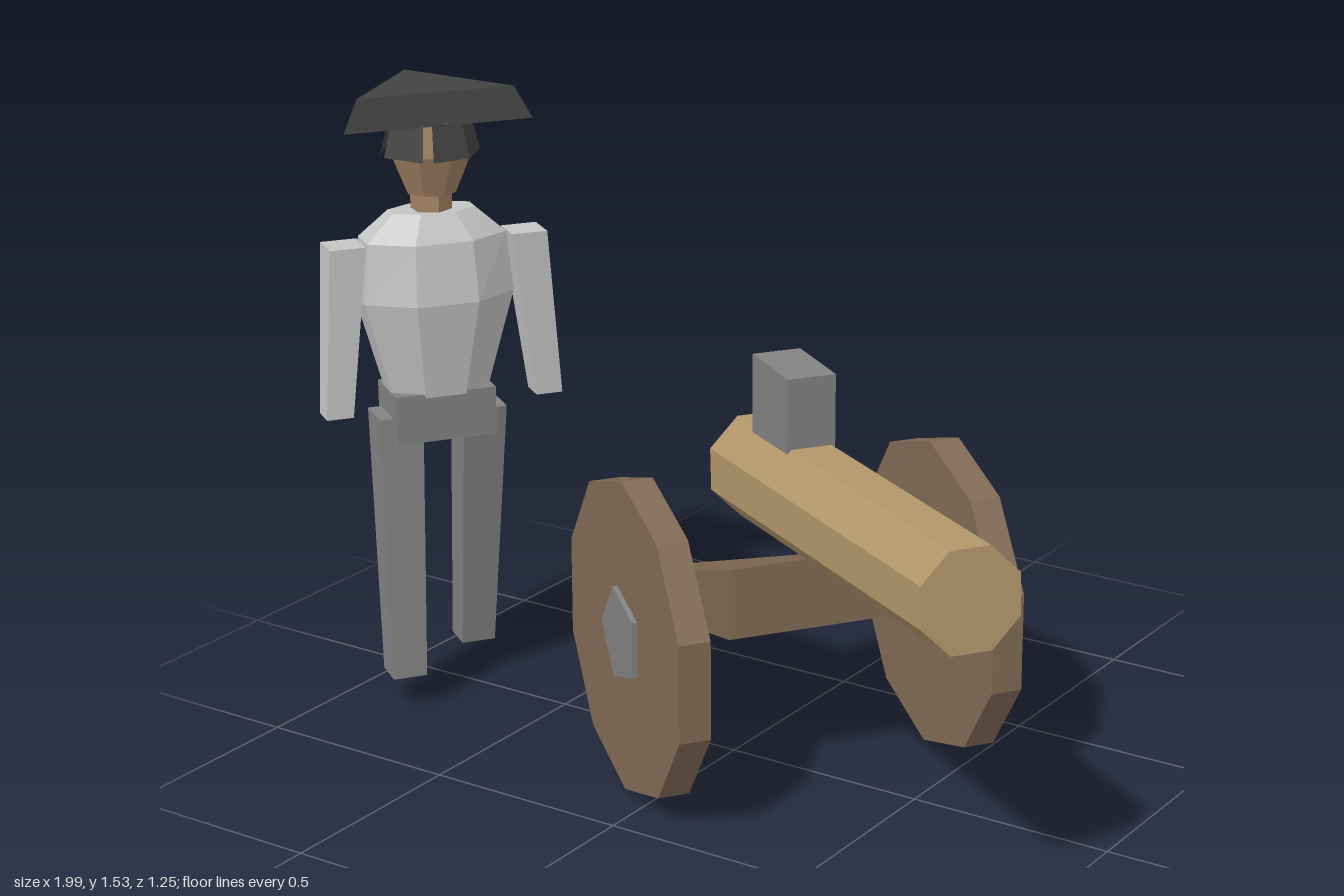
import * as THREE from 'three';

const YAW = THREE.MathUtils.degToRad(55);

const colour = (name, hex, side = THREE.FrontSide) => {
  const m = new THREE.MeshStandardMaterial({ color: hex, side });
  m.name = name;
  return m;
};

// Faceted copy of a geometry
function facet(geometry) {
  const g = geometry.index ? geometry.toNonIndexed() : geometry;
  g.computeVertexNormals();
  return g;
}

// Closed solid through a list of rings, each counter-clockwise seen from the far end
function loft(rings) {
  const n = rings[0].length;
  const pos = rings.flat(2);
  const idx = [];
  for (let r = 0; r < rings.length - 1; r++) {
    for (let i = 0; i < n; i++) {
      const a = r * n + i, b = r * n + (i + 1) % n;
      idx.push(a, b, b + n, a, b + n, a + n);
    }
  }
  const t = (rings.length - 1) * n;
  for (let i = 1; i < n - 1; i++) idx.push(0, i + 1, i, t, t + i, t + i + 1);
  const g = new THREE.BufferGeometry();
  g.setAttribute('position', new THREE.Float32BufferAttribute(pos, 3));
  g.setIndex(idx);
  return facet(g);
}

// Horizontal ring with half width a and half depth b
function ring(y, a, b, sides, cx = 0, cz = 0, start = 0) {
  return Array.from({ length: sides }, (_, i) => {
    const t = start + i / sides * Math.PI * 2;
    return [cx + a * Math.sin(t), y, cz + b * Math.cos(t)];
  });
}

// Tapered square limb between two centres [x, y, z]
function limb(low, wLow, high, wHigh) {
  const k = Math.SQRT1_2, q = Math.PI / 4;
  return loft([
    ring(low[1], wLow * k, wLow * k, 4, low[0], low[2], q),
    ring(high[1], wHigh * k, wHigh * k, 4, high[0], high[2], q),
  ]);
}

export function createModel() {
  const wood = colour('brown wood', 0x816a55);
  const brass = colour('brass', 0xb3976b);
  const grey = colour('mid grey', 0x828282);
  const shirt = colour('pale grey cloth', 0xc4c4c4);
  const skin = colour('skin', 0xa38264);
  const felt = colour('black felt', 0x424242);
  const hairMat = colour('dark hair', 0x424242, THREE.DoubleSide);

  const root = new THREE.Group();
  const add = (parent, name, geometry, material, x = 0, y = 0, z = 0) => {
    const m = new THREE.Mesh(geometry, material);
    m.name = name;
    m.position.set(x, y, z);
    parent.add(m);
    return m;
  };

  // Cannon, local +z is the firing direction
  const cannon = new THREE.Group();
  cannon.name = 'cannon';
  cannon.position.set(0.15, 0, -0.02);
  cannon.rotation.y = YAW;
  root.add(cannon);

  const disc = (r, w, sides, start) =>
    facet(new THREE.CylinderGeometry(r, r, w, sides, 1, false, start).rotateZ(Math.PI / 2));
  for (const s of [-1, 1]) {
    const side = s > 0 ? 'left' : 'right';
    add(cannon, side + 'Wheel', disc(0.38, 0.075, 10, Math.PI / 10), wood, s * 0.382, 0.38, 0);
    add(cannon, side + 'Hub', disc(0.116, 0.1, 5, Math.PI), grey, s * 0.382, 0.385, 0);
  }

  // Trail: wide block under the barrel, narrowing down to the ground
  const rect = (z, w, y0, y1) => [[-w, y0, z], [w, y0, z], [w, y1, z], [-w, y1, z]];
  add(cannon, 'trail', loft([rect(-0.947, 0.085, 0.068, 0.152), rect(0.107, 0.201, 0.382, 0.553)]), wood);

  // Barrel with a slight taper and upward tilt
  const barrel = add(cannon, 'barrel',
    facet(new THREE.CylinderGeometry(0.123, 0.131, 1.167, 8, 1, false, Math.PI / 8).rotateX(Math.PI / 2)),
    brass, 0, 0.721, 0.368);
  barrel.rotation.x = -0.068;
  add(cannon, 'breechBlock', facet(new THREE.BoxGeometry(0.118, 0.19, 0.21)), grey, 0, 0.895, 0);

  // Gunner, local +z is forward
  const gunner = new THREE.Group();
  gunner.name = 'gunner';
  gunner.position.set(-0.81, 0, 0.08);
  gunner.rotation.y = YAW;
  root.add(gunner);

  const o = Math.PI / 8;
  add(gunner, 'torso', loft([
    ring(0.77, 0.125, 0.08, 8, 0, 0, o),
    ring(1.03, 0.2, 0.13, 8, 0, 0, o),
    ring(1.175, 0.185, 0.11, 8, 0, 0, o),
    ring(1.238, 0.11, 0.06, 8, 0, 0, o),
  ]), shirt);
  add(gunner, 'pelvis', facet(new THREE.BoxGeometry(0.25, 0.12, 0.155)), grey, 0, 0.74, 0);

  add(gunner, 'leftArm', limb([0.272, 0.755, 0.012], 0.066, [0.222, 1.172, 0.025], 0.088), shirt);
  add(gunner, 'rightArm', limb([-0.256, 0.755, 0.02], 0.066, [-0.222, 1.172, 0.01], 0.088), shirt);
  add(gunner, 'leftLeg', limb([0.112, 0.08, -0.12], 0.085, [0.105, 0.74, 0], 0.108), grey);
  add(gunner, 'rightLeg', limb([-0.115, 0.08, 0.045], 0.085, [-0.105, 0.74, 0], 0.108), grey);

  // Head, turned to look toward +z
  const head = new THREE.Group();
  head.name = 'head';
  head.rotation.y = -YAW;
  gunner.add(head);
  add(head, 'neck', loft([ring(1.2, 0.05, 0.05, 6), ring(1.3, 0.05, 0.05, 6)]), skin);
  add(head, 'face', loft([
    ring(1.28, 0.062, 0.06, 8, 0, 0, o),
    ring(1.38, 0.104, 0.1, 8, 0, 0, o),
    ring(1.46, 0.088, 0.086, 8, 0, 0, o),
  ]), skin);

  // Hair in two arcs with narrow gaps beside the fringe
  const arc = (from, to, sides) => {
    const d = THREE.MathUtils.degToRad;
    return facet(new THREE.CylinderGeometry(0.1, 0.12, 0.085, sides, 1, true, d(from), d(to - from)));
  };
  add(head, 'hair', arc(43, 323, 6), hairMat, 0, 1.418, 0);
  add(head, 'fringe', arc(-24, 31, 1), hairMat, 0, 1.418, 0);

  // Three-cornered hat, one corner pointing back
  const hat = facet(new THREE.CylinderGeometry(0.174, 0.21, 0.077, 3, 1, false, Math.PI).scale(1.266, 1, 1));
  add(gunner, 'hat', hat, felt, 0, 1.494, -0.02);

  return root;
}
